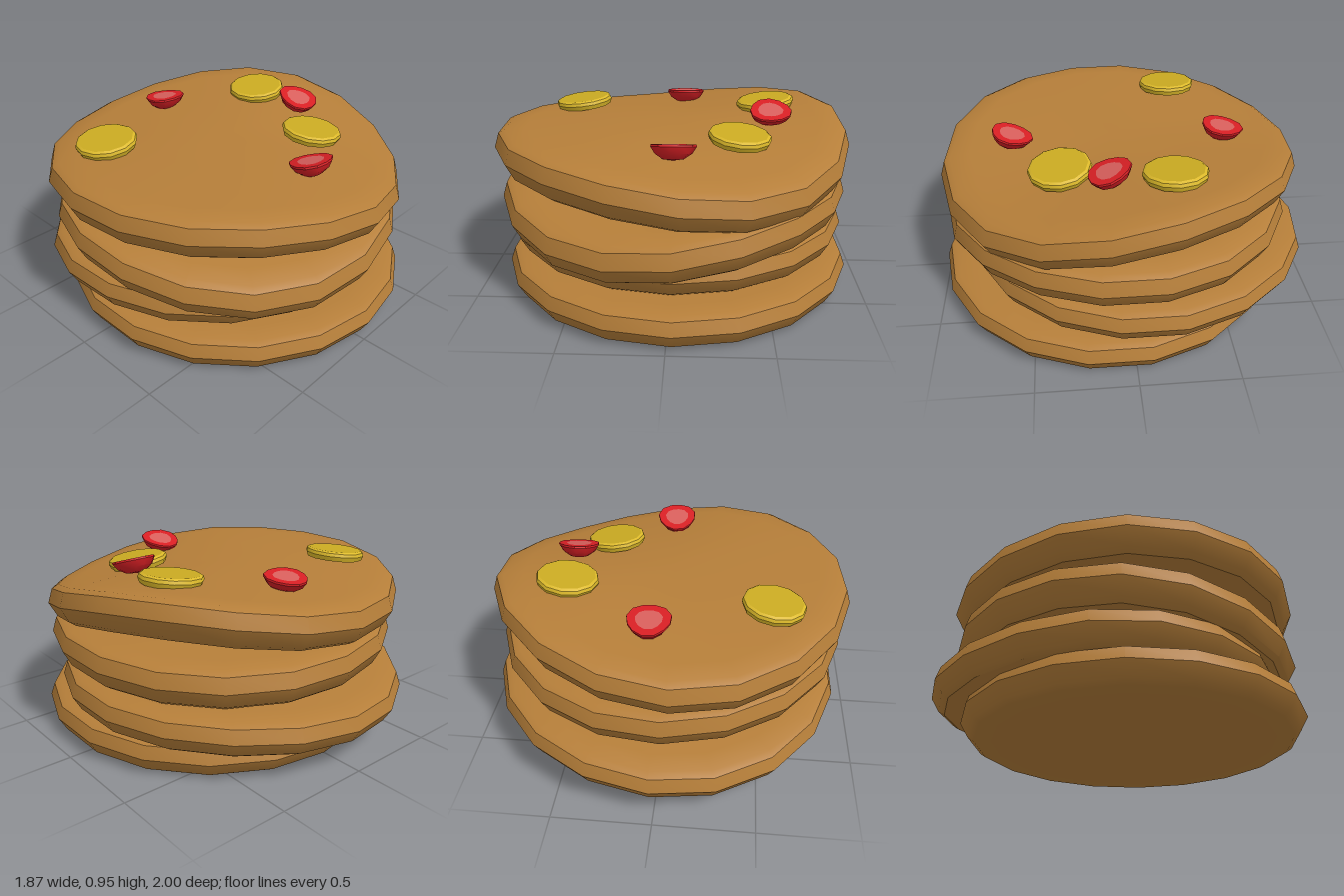
import * as THREE from 'three';
import { toCreasedNormals } from 'three/addons/utils/BufferGeometryUtils.js';

const mat = (name, color) => {
  const m = new THREE.MeshStandardMaterial({ color });
  m.name = name;
  return m;
};

// Turned solid or disc whose vertices are moved by a rule
function turned(points, sides, move, crease = 0.6) {
  const geo = new THREE.LatheGeometry(points.map(([r, y]) => new THREE.Vector2(r, y)), sides);
  const p = geo.attributes.position;
  const v = new THREE.Vector3();
  for (let i = 0; i < p.count; i++) {
    v.fromBufferAttribute(p, i);
    if (move) move(v);
    p.setXYZ(i, v.x, v.y, v.z);
  }
  return toCreasedNormals(geo, crease);
}

function add(parent, name, geo, material) {
  const mesh = new THREE.Mesh(geo, material);
  mesh.name = name;
  parent.add(mesh);
  return mesh;
}

// Floppy disc; each bend [x, z, amount] lifts or lowers the rim in that direction
function pancakeGeometry(R, h, bends) {
  const profile = [
    [0, 0], [0.5, 0], [0.8, 0], [0.92, 0], [0.955, 0.12], [1, 0.53],
    [0.975, 0.9], [0.94, 0.98], [0.83, 1], [0.45, 1], [0, 1],
  ].map(([r, y]) => [r * R, y * h]);
  return turned(profile, 18, (v) => {
    const r = Math.hypot(v.x, v.z);
    if (r < 1e-6) return;
    for (const [bx, bz, amount] of bends) {
      const c = (v.x * bx + v.z * bz) / (r * Math.hypot(bx, bz));
      v.y += amount * Math.max(0, c) ** 2.5 * (r / R) ** 1.6;
    }
  });
}

export function createModel() {
  const root = new THREE.Group();
  root.name = 'pancakeStack';
  const cake = mat('pancake brown', 0xb57e39);
  const rind = mat('banana edge yellow', 0xdcb92a);
  const flesh = mat('banana face yellow', 0xcbab22);
  const red = mat('strawberry red', 0xd81f24);
  const pink = mat('strawberry pink', 0xd85f5c);

  // Four stacked pancakes
  const pancakes = [
    { x: 0.025, y: 0, z: 0.08, R: 0.92, h: 0.175, turn: 0, bends: [] },
    { x: 0.015, y: 0.178, z: -0.08, R: 0.92, h: 0.18, turn: 0, bends: [[-0.45, -0.9, -0.07]] },
    { x: 0, y: 0.385, z: 0.035, R: 0.92, h: 0.2, turn: 0.03, bends: [[-0.42, 0.85, -0.125], [0.5, -0.8, -0.03]] },
    { x: -0.005, y: 0.632, z: 0.025, R: 0.938, h: 0.2, turn: 0.07,
      bends: [[0.5, 0.8, -0.13], [0.8, -0.36, 0.07], [-0.2, -0.9, -0.06]] },
  ];
  pancakes.forEach((c, i) => {
    const mesh = add(root, `pancake${i + 1}`, pancakeGeometry(c.R, c.h, c.bends), cake);
    mesh.position.set(c.x, c.y, c.z);
    mesh.rotation.y = c.turn;
  });

  // Banana slices: bevelled rim with a duller face
  const rimGeo = turned([[0, 0], [0.15, 0], [0.16, 0.025], [0.155, 0.042], [0.142, 0.05]], 12);
  const faceGeo = turned([[0.142, 0.05], [0, 0.05]], 12);
  [
    [-0.53, 0.828, -0.31, 0, 0.11],
    [0.51, 0.856, -0.21, 0.02, 0.11],
    [0.34, 0.805, 0.33, 0.09, -0.09],
  ].forEach(([x, y, z, rx, rz], i) => {
    const slice = new THREE.Group();
    slice.name = `bananaSlice${i + 1}`;
    add(slice, 'bananaRim', rimGeo, rind);
    add(slice, 'bananaFace', faceGeo, flesh);
    slice.position.set(x, y, z);
    slice.rotation.set(rx, 0, rz);
    root.add(slice);
  });

  // Strawberry halves: lumpy bowl with a cut face on top
  const lumpy = (v) => {
    const k = 1 + 0.05 * Math.sin(3 * Math.atan2(v.z, v.x) + 0.6);
    v.x *= k;
    v.z *= k;
  };
  const bowlGeo = turned([[0, -0.075], [0.05, -0.068], [0.088, -0.042], [0.108, -0.01], [0.107, 0], [0.066, 0]], 12, lumpy);
  const cutGeo = turned([[0.066, 0], [0, 0]], 12, lumpy);
  [
    [0.51, 0.912, 0.105, 0.32, 0],
    [0.02, 0.86, 0.575, -0.28, 2],
    [0.055, 0.877, -0.525, -0.14, 4],
  ].forEach(([x, y, z, rx, turn], i) => {
    const berry = new THREE.Group();
    berry.name = `strawberry${i + 1}`;
    add(berry, 'strawberrySkin', bowlGeo, red).rotation.y = turn;
    add(berry, 'strawberryCutFace', cutGeo, pink).rotation.y = turn;
    berry.position.set(x, y, z);
    berry.rotation.x = rx;
    root.add(berry);
  });

  return root;
}
